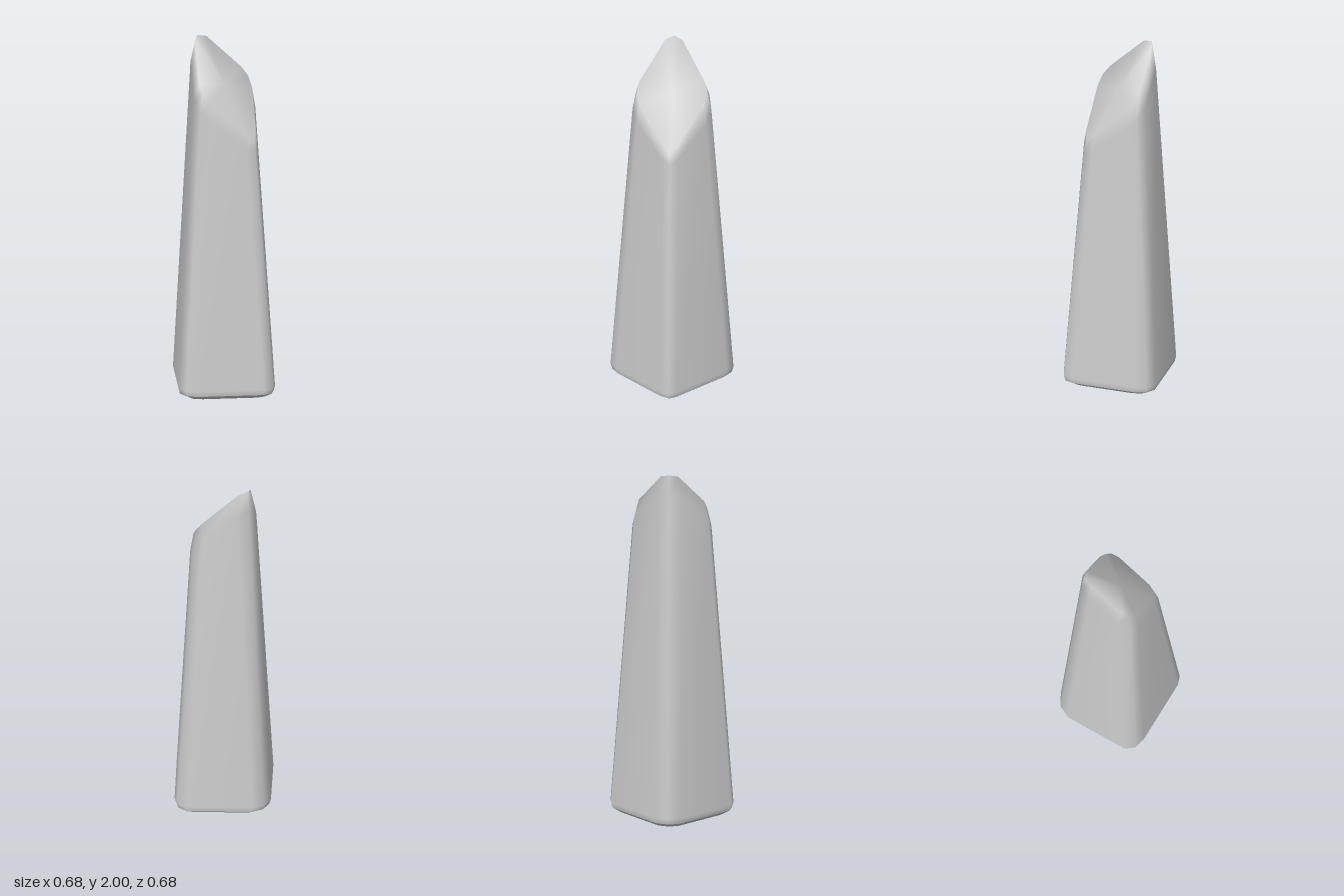
import * as THREE from 'three';

// Mirrored 12-point outline of a diamond with blunted corners.
// half: [x, z] points from the front corner round the +x side to the back corner
function outline(half) {
  const mirrored = half.slice(1, -1).reverse().map(([x, z]) => [-x, z]);
  return [...half, ...mirrored];
}

const wide = outline([[0, 0.338], [0.047, 0.314], [0.304, 0.056], [0.338, 0], [0.33, -0.06], [0.07, -0.317], [0, -0.339]]);
const narrow = outline([[0, 0.215], [0.047, 0.19], [0.187, 0.056], [0.217, 0], [0.202, -0.06], [0.067, -0.195], [0, -0.218]]);
const tip = outline([[0, 0.199], [0.042, 0.178], [0.178, 0.04], [0.192, 0], [0.18, -0.036], [0.048, -0.178], [0, -0.202]]);

// Lift an outline to a height given by a rule, with optional scaling
const ring = (pts, height, s = 1) => pts.map(([x, z]) => [x * s, height(z), z * s]);

// Skin consecutive rings; optionally close the last one with a fan
function skin(rings, cap) {
  const n = rings[0].length;
  const pos = rings.flat(2);
  const index = [];
  for (let r = 0; r < rings.length - 1; r++) {
    for (let i = 0; i < n; i++) {
      const a = r * n + i, b = r * n + (i + 1) % n;
      index.push(a, b, b + n, a, b + n, a + n);
    }
  }
  if (cap) {
    const last = (rings.length - 1) * n;
    pos.push(...cap);
    for (let i = 0; i < n; i++) index.push(last + i, last + (i + 1) % n, rings.length * n);
  }
  const geo = new THREE.BufferGeometry();
  geo.setAttribute('position', new THREE.Float32BufferAttribute(pos, 3));
  geo.setIndex(index);
  geo.computeVertexNormals();
  return geo;
}

export function createModel() {
  const group = new THREE.Group();
  group.name = 'slantedPillar';
  const material = new THREE.MeshStandardMaterial({ color: 0xcccccc });
  const slant = (z) => 1.755 - 1.3 * z + (z > 0.19 ? -0.025 : 0) + (z < -0.19 ? -0.017 : 0);

  // Tapered shaft with a bevelled, slanted top
  const body = new THREE.Mesh(skin([
    ring(wide, () => 0.028, 0.97),
    ring(wide, () => 0.06),
    ring(narrow, (z) => 1.65 - 1.1 * z),
    ring(tip, slant),
  ], [0, 1.755, 0]), material);
  body.name = 'taperedShaft';

  // Chamfered underside; rings reversed so it faces down
  const base = new THREE.Mesh(skin([
    ring(wide, () => 0.028, 0.97).reverse(),
    ring(wide, () => 0, 0.82).reverse(),
  ], [0, 0, 0]), material);
  base.name = 'base';

  group.add(body, base);
  return group;
}
